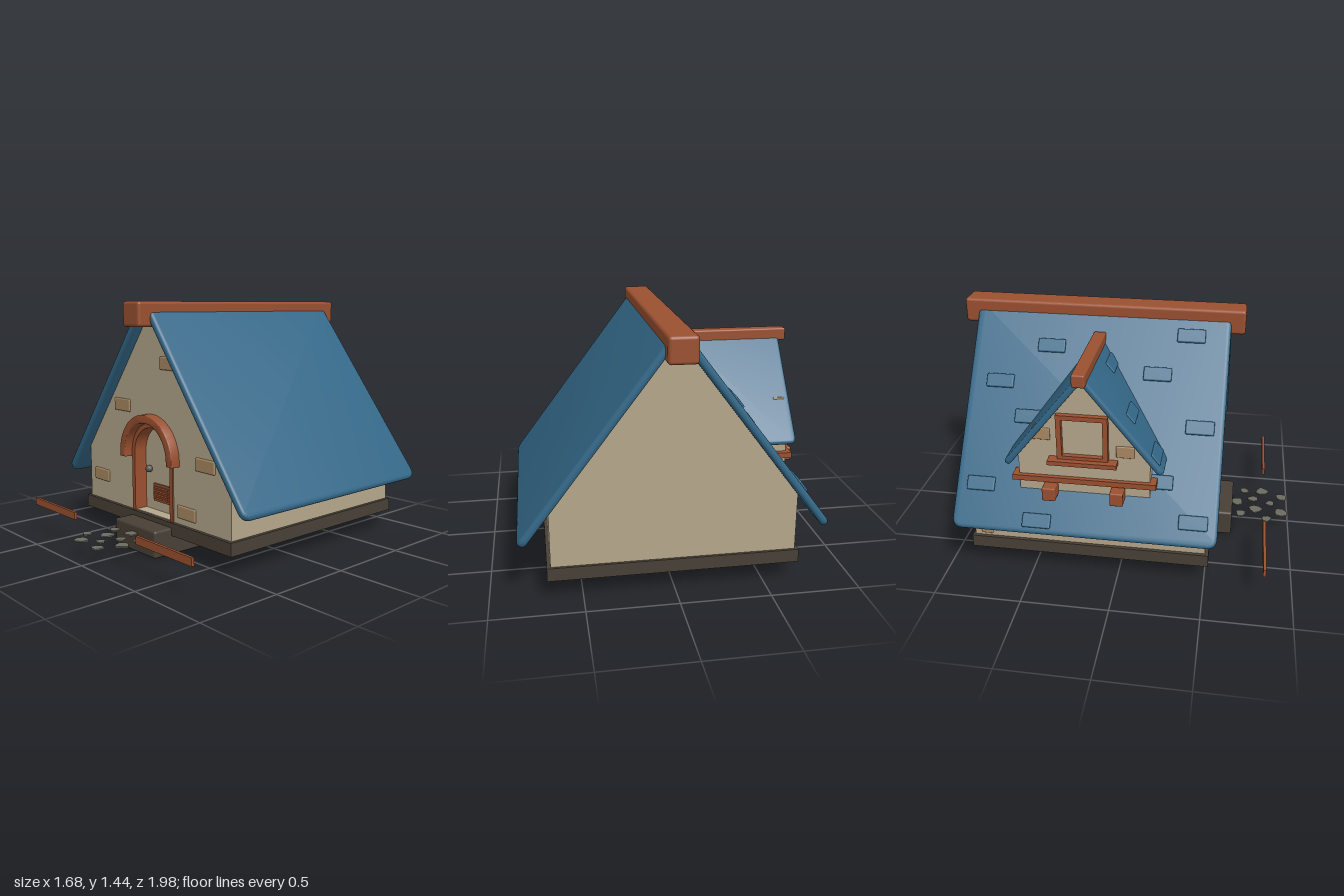
import * as THREE from 'three';
import { toCreasedNormals } from 'three/addons/utils/BufferGeometryUtils.js';
import { RoundedBoxGeometry } from 'three/addons/geometries/RoundedBoxGeometry.js';

const paint = (name, color) => {
  const m = new THREE.MeshStandardMaterial({ color });
  m.name = name;
  return m;
};

export function createModel() {
  const plaster = paint('plaster', 0xb5a78c);
  const roofBlue = paint('roofBlue', 0x336787);
  const timber = paint('timber', 0x9a5030);
  const foundation = paint('foundation', 0x484036);
  const brickTan = paint('brickTan', 0xa98a62);
  const pathStone = paint('pathStone', 0x6d6c62);
  const iron = paint('iron', 0x5a5a55);

  const house = new THREE.Group();
  house.name = 'cottage';

  const add = (name, geo, mat, x = 0, y = 0, z = 0) => {
    const mesh = new THREE.Mesh(geo, mat);
    mesh.name = name;
    mesh.position.set(x, y, z);
    house.add(mesh);
    return mesh;
  };
  // Box given by its limits on each axis, with optional rounded edges
  const box = (name, mat, [x0, x1], [y0, y1], [z0, z1], r = 0) => {
    const d = [x1 - x0, y1 - y0, z1 - z0];
    const geo = r ? new RoundedBoxGeometry(...d, 3, r) : new THREE.BoxGeometry(...d);
    return add(name, geo, mat, (x0 + x1) / 2, (y0 + y1) / 2, (z0 + z1) / 2);
  };
  const polygon = (pts) => new THREE.Shape(pts.map((p) => new THREE.Vector2(...p)));
  const extrude = (shape, depth, bevel = 0) => toCreasedNormals(new THREE.ExtrudeGeometry(shape, {
    depth: depth - 2 * bevel, curveSegments: 24, bevelEnabled: bevel > 0,
    bevelThickness: bevel, bevelSize: bevel, bevelOffset: -bevel, bevelSegments: 3,
  }).translate(0, 0, bevel), 0.6);
  // Polygon with every corner rounded off
  const roundedPolygon = (pts, r) => {
    const v = pts.map((p) => new THREE.Vector2(...p));
    const s = new THREE.Shape();
    v.forEach((p, i) => {
      const prev = v[(i + v.length - 1) % v.length], next = v[(i + 1) % v.length];
      const a = p.clone().add(prev.clone().sub(p).setLength(r));
      const b = p.clone().add(next.clone().sub(p).setLength(r));
      if (i) s.lineTo(a.x, a.y); else s.moveTo(a.x, a.y);
      s.quadraticCurveTo(p.x, p.y, b.x, b.y);
    });
    s.closePath();
    return s;
  };
  // Roof slab: outline in (down the slope, along the ridge), laid into place
  const slab = (name, pts, r, thick, origin, u, v) => {
    const geo = extrude(roundedPolygon(pts, r), thick, thick * 0.4).translate(0, 0, -thick / 2);
    const n = u.clone().cross(v);
    geo.applyMatrix4(new THREE.Matrix4().makeBasis(u, v, n).setPosition(...origin));
    return add(name, geo, roofBlue);
  };

  // Foundation and doorstep
  box('foundation', foundation, [-0.69, 0.69], [0.115, 0.19], [-0.865, 0.52]);
  box('doorstep', foundation, [-0.2, 0.19], [0, 0.16], [0.245, 0.64], 0.015);

  // Walls, with an arched recess for the door
  const gable = [[-0.67, 0.185], [0.67, 0.185], [0.67, 0.53], [0, 1.4], [-0.67, 0.53]];
  const DX = -0.005, SPRING = 0.545;
  const tracArch = (path, r, bottom) => {
    path.moveTo(DX - r, bottom).lineTo(DX + r, bottom).lineTo(DX + r, SPRING);
    path.absarc(DX, SPRING, r, 0, Math.PI, false);
    path.lineTo(DX - r, bottom);
    return path;
  };
  add('walls', extrude(polygon(gable), 1.275), plaster, 0, 0, -0.85);
  const frontWall = polygon(gable);
  frontWall.holes.push(tracArch(new THREE.Path(), 0.185, 0.195));
  add('frontWall', extrude(frontWall, 0.075), plaster, 0, 0, 0.425);

  // Door frame and hood: arch bands between two radii
  const band = (name, r0, r1, bottom, z, depth, bevel) => {
    const s = new THREE.Shape();
    s.moveTo(DX + r0, bottom).lineTo(DX + r1, bottom).lineTo(DX + r1, SPRING);
    s.absarc(DX, SPRING, r1, 0, Math.PI, false);
    s.lineTo(DX - r1, bottom).lineTo(DX - r0, bottom).lineTo(DX - r0, SPRING);
    s.absarc(DX, SPRING, r0, Math.PI, 0, true);
    s.closePath();
    add(name, extrude(s, depth, bevel), timber, 0, 0, z);
  };
  band('doorFrame', 0.166, 0.194, 0.19, 0.425, 0.083, 0);
  band('doorHood', 0.197, 0.247, 0.52, 0.47, 0.09, 0.006);
  add('doorKnob', new THREE.SphereGeometry(0.022, 16, 12), iron, -0.12, 0.443, 0.442);

  // Letter plate with slats
  box('letterPlate', timber, [-0.085, 0.075], [0.253, 0.36], [0.42, 0.436]);
  for (let i = 0; i < 4; i++) {
    const y = 0.268 + i * 0.022;
    box('letterPlateSlat', timber, [-0.075, 0.06], [y, y + 0.012], [0.43, 0.444]);
  }

  // Bricks showing through the plaster
  for (const [x, y] of [[0.157, 1.093], [-0.298, 0.82], [0.465, 0.56], [-0.535, 0.348], [0.305, 0.263]])
    box('brick', brickTan, [x - 0.079, x + 0.079], [y - 0.038, y + 0.038], [0.48, 0.509], 0.008);
  box('sideBrick', brickTan, [-0.678, -0.65], [0.205, 0.335], [-0.81, -0.74], 0.008);

  // Main roof and ridge beam
  const C = 0.603, S = 0.798, PITCH = Math.atan2(S, C);
  for (const side of [1, -1])
    slab(side > 0 ? 'leftRoof' : 'rightRoof',
      [[0, -0.92], [1.322, -0.92], [1.322, 0.565], [0, 0.565]], 0.06, 0.045,
      [side * 0.03, 1.398, 0], new THREE.Vector3(side * C, -S, 0), new THREE.Vector3(0, 0, 1));
  box('ridgeBeam', timber, [-0.08, 0.075], [1.295, 1.437], [-1, 0.645], 0.018);

  // Raised shingles on the dormer side of the roof
  const shingles = [[-0.69, -0.775], [-0.33, -0.735], [-0.195, -0.455], [-0.45, -0.545], [-0.8, -0.435],
    [-0.275, 0.17], [-0.135, 0.345], [-0.45, 0.43], [-0.765, 0.43], [-0.64, 0.225]];
  for (const [x, z] of shingles) {
    const y = 0.36 + (0.84 + x) * 1.325;
    add('shingle', new RoundedBoxGeometry(0.08, 0.03, 0.16, 2, 0.008), roofBlue, x, y, z).rotation.z = PITCH;
  }

  // Dormer walls: profiles drawn in (z, y) and pushed out towards -x
  const DZ = -0.18;
  const sideways = (name, shape, depth, mat, x) =>
    add(name, extrude(shape, depth).rotateY(-Math.PI / 2), mat, x, 0, DZ);
  sideways('dormerWall', polygon([[-0.365, 0.53], [0.365, 0.53], [0.365, 0.78], [0, 1.235], [-0.365, 0.78]]),
    0.495, plaster, -0.2);

  // Dormer roof: slabs tapering into the main roof, and a small ridge beam
  const dc = 0.6265, ds = 0.779;
  for (const side of [1, -1])
    slab('dormerRoof', [[0, -0.73], [0.69, -0.73], [0.69, -0.55], [0, -0.135]], 0.035, 0.036,
      [0, 1.255, DZ], new THREE.Vector3(0, -ds, side * dc), new THREE.Vector3(1, 0, 0));
  box('dormerRidge', timber, [-0.77, -0.14], [1.225, 1.297], [-0.217, -0.145], 0.01);
  for (const [x, z] of [[-0.285, -0.09], [-0.52, 0.06], [-0.62, 0.21]]) {
    const y = 1.278 - (z - DZ) * ds / dc;
    add('dormerShingle', new RoundedBoxGeometry(0.16, 0.025, 0.075, 2, 0.008), roofBlue, x, y, z)
      .rotation.x = Math.atan2(ds, dc);
  }

  // Dormer window, sill, plank and brackets
  const frame = polygon([[-0.14, 0.77], [0.14, 0.77], [0.14, 1.04], [-0.14, 1.04]]);
  frame.holes.push(new THREE.Path([[-0.112, 0.797], [-0.112, 1.013], [0.112, 1.013], [0.112, 0.797]]
    .map((p) => new THREE.Vector2(...p))));
  sideways('windowFrame', frame, 0.04, timber, -0.685);
  box('windowSill', timber, [-0.757, -0.68], [0.752, 0.777], [-0.37, 0.01]);
  box('dormerPlank', timber, [-0.72, -0.64], [0.62, 0.652], [-0.58, 0.22]);
  for (const z of [DZ - 0.185, DZ + 0.19])
    box('bracket', timber, [-0.78, -0.6], [0.535, 0.615], [z - 0.037, z + 0.037], 0.008);
  for (const [z, y] of [[-0.41, 0.91], [0.05, 0.83]])
    box('dormerBrick', brickTan, [-0.702, -0.635], [y - 0.035, y + 0.035], [z - 0.05, z + 0.05], 0.006);

  // Low boards either side of the path
  box('rightBoard', timber, [-0.787, -0.32], [0.16, 0.205], [0.827, 0.844]);
  box('leftBoard', timber, [0.292, 0.757], [0.16, 0.205], [0.827, 0.844]);

  // Stepping stones: irregular flat polygons
  const stones = [[-0.125, 0.695, 0.034], [0.005, 0.67, 0.042], [0.14, 0.715, 0.031], [-0.065, 0.787, 0.044],
    [0.05, 0.77, 0.033], [0.147, 0.83, 0.043], [-0.163, 0.855, 0.033], [0.012, 0.88, 0.03],
    [-0.083, 0.945, 0.043], [0.093, 0.955, 0.038]];
  stones.forEach(([x, z, r], i) => {
    const pts = Array.from({ length: 7 }, (_, k) => {
      const a = (k / 7) * Math.PI * 2 + i * 1.3, q = r * (0.95 + 0.15 * Math.sin(k * 2.4 + i * 1.7));
      return [Math.cos(a) * q, Math.sin(a) * q];
    });
    add('steppingStone', extrude(polygon(pts), 0.008).rotateX(-Math.PI / 2), pathStone, x, 0.111, z);
  });

  return house;
}
